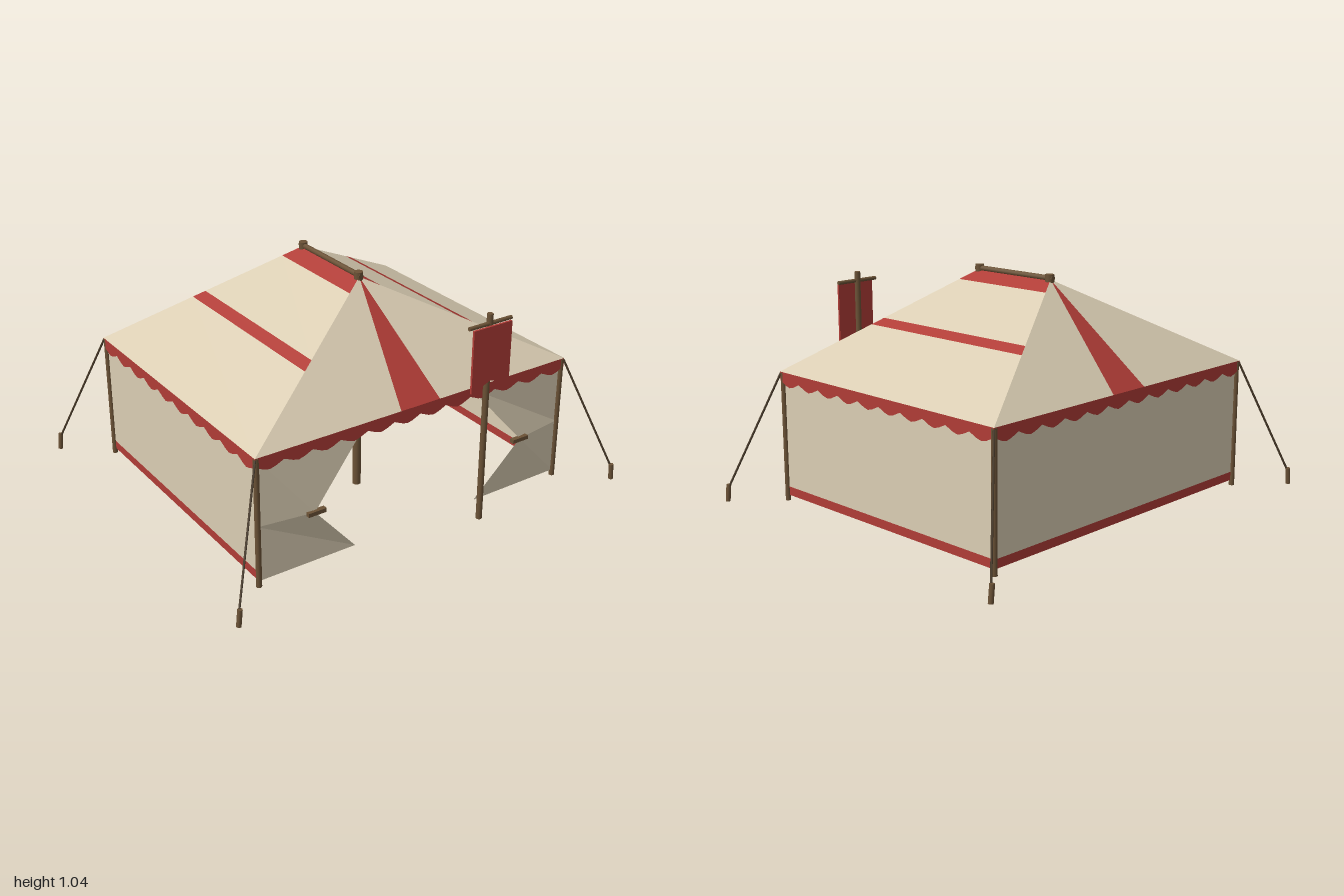
import * as THREE from 'three';

const EX = 0.797, EZ = 0.667, EY = 0.595;   // eave half width, half depth, height
const RY = 1.012, RZ = 0.22;                // ridge height and half length
const WX = 0.787, WZ = 0.657;               // wall lines

export function createModel() {
  const root = new THREE.Group();
  root.name = 'pavilionTent';

  const mat = (name, color, side = THREE.FrontSide) => {
    const m = new THREE.MeshStandardMaterial({ color, side });
    m.name = name;
    return m;
  };
  const cream = mat('cream canvas', 0xdacdb3, THREE.DoubleSide);
  const red = mat('red canvas', 0xb03c36, THREE.DoubleSide);
  const wood = mat('wood', 0x6b5236);
  const rope = mat('rope', 0x4a3b29);

  const add = (name, geometry, material, parent = root) => {
    const mesh = new THREE.Mesh(geometry, material);
    mesh.name = name;
    parent.add(mesh);
    return mesh;
  };

  // flat sheets: each polygon is a list of corners, filled as a fan
  const sheet = (name, polygons, material) => {
    const pos = [];
    for (const p of polygons)
      for (let i = 1; i < p.length - 1; i++) pos.push(...p[0], ...p[i], ...p[i + 1]);
    const g = new THREE.BufferGeometry();
    g.setAttribute('position', new THREE.Float32BufferAttribute(pos, 3));
    g.computeVertexNormals();
    return add(name, g, material);
  };

  // round bar between two points
  const bar = (name, a, b, r, material, sides = 10) => {
    const A = new THREE.Vector3(...a), B = new THREE.Vector3(...b);
    const d = B.clone().sub(A);
    const mesh = add(name, new THREE.CylinderGeometry(r, r, d.length(), sides), material);
    mesh.position.copy(A).add(B).multiplyScalar(0.5);
    mesh.quaternion.setFromUnitVectors(new THREE.Vector3(0, 1, 0), d.normalize());
    return mesh;
  };

  // side roof slopes in bands running parallel to the ridge
  const roofPoint = (x, s, end) =>
    [s * x, RY - (RY - EY) * x / EX, end * (RZ + (EZ - RZ) * x / EX)];
  const bands = [[0, 0.08, red], [0.08, 0.385, cream], [0.385, 0.435, red], [0.435, EX, cream]];
  for (const s of [1, -1])
    for (const [a, b, m] of bands)
      sheet(m === red ? 'roofStripe' : 'roofSlope', [[
        roofPoint(a, s, s), roofPoint(b, s, s), roofPoint(b, s, -s), roofPoint(a, s, -s),
      ]], m);

  // front and back hips with a red wedge in the middle
  for (const s of [1, -1]) {
    const tip = [0, RY, s * RZ];
    const eave = x => [s * x, EY, s * EZ];
    sheet('hip', [[eave(-EX), eave(-0.1), tip], [eave(0.1), eave(EX), tip]], cream);
    sheet('hipWedge', [[eave(-0.1), eave(0.1), tip]], red);
  }

  // scalloped valance hanging from the eaves
  const valance = (half, teeth) => {
    const s = new THREE.Shape();
    s.moveTo(-half, EY);
    s.lineTo(-half, 0.555);
    const w = 2 * half / teeth;
    for (let i = 0; i < teeth; i++) {
      const x = -half + i * w;
      s.lineTo(x + 0.3 * w, 0.537);
      s.lineTo(x + 0.5 * w, 0.53);
      s.lineTo(x + 0.7 * w, 0.537);
      s.lineTo(x + w, 0.555);
    }
    s.lineTo(half, EY);
    return new THREE.ShapeGeometry(s);
  };
  for (let i = 0; i < 4; i++) {
    const side = i % 2 === 1;
    const v = add('valance', valance(side ? EZ : EX, side ? 10 : 12), red);
    v.rotation.y = i * Math.PI / 2;
    v.position.set(Math.sin(v.rotation.y) * EX, 0, Math.cos(v.rotation.y) * EZ);
  }

  // back and side walls with a red hem
  const wall = (y0, y1, name, m) => {
    sheet('back' + name, [[[WX, y0, -WZ], [-WX, y0, -WZ], [-WX, y1, -WZ], [WX, y1, -WZ]]], m);
    for (const s of [1, -1]) {
      const x = s * WX, z = s * WZ;
      sheet('side' + name, [[[x, y0, z], [x, y0, -z], [x, y1, -z], [x, y1, z]]], m);
    }
  };
  wall(0.065, EY, 'Wall', cream);
  wall(0.025, 0.065, 'Hem', red);

  // front flaps drawn back to their toggles
  for (const s of [1, -1]) {
    const P = (x, y, z) => [s * x, y, z];
    const fold = P(0.54, 0.28, 0.692), edge = P(WX, 0.28, WZ);
    const upper = [P(0.27, 0.59, 0.66), fold, edge, P(WX, 0.59, WZ)];
    const lower = [fold, P(0.32, 0.025, 0.66), P(WX, 0.025, WZ), edge];
    if (s < 0) { upper.reverse(); lower.reverse(); }
    sheet('frontFlap', [upper, lower], cream);
    const toggle = add('flapToggle', new THREE.BoxGeometry(0.085, 0.018, 0.022), wood);
    toggle.position.set(s * 0.535, 0.282, 0.694);
  }

  // centre poles and ridge pole
  for (const z of [0.215, -0.215]) bar('centrePole', [0, 0, z], [0, 1.035, z], 0.02, wood);
  bar('ridgePole', [0, 1.018, -0.235], [0, 1.018, 0.235], 0.012, wood);

  // corner poles, guy ropes and stakes
  for (const sx of [1, -1])
    for (const sz of [1, -1]) {
      bar('cornerPole', [sx * WX, 0, sz * WZ], [sx * WX, 0.592, sz * WZ], 0.0125, wood);
      bar('guyRope', [sx * 0.795, 0.588, sz * 0.665], [sx * 0.984, 0.06, sz * 0.835], 0.005, rope, 6);
      bar('stake', [sx * 0.988, 0, sz * 0.837], [sx * 0.98, 0.077, sz * 0.837], 0.011, wood, 8);
    }

  // banner on its own pole
  bar('bannerPole', [0.27, 0, 0.757], [0.27, 0.972, 0.757], 0.014, wood);
  bar('bannerCrossbar', [0.16, 0.93, 0.76], [0.382, 0.93, 0.76], 0.009, wood, 8);
  const cloth = new THREE.Shape([[0.17, 0.925], [0.17, 0.642], [0.27, 0.68], [0.37, 0.642], [0.37, 0.925]]
    .map(p => new THREE.Vector2(...p)));
  add('banner', new THREE.ExtrudeGeometry(cloth, { depth: 0.01, bevelEnabled: false }), red)
    .position.z = 0.772;

  return root;
}
